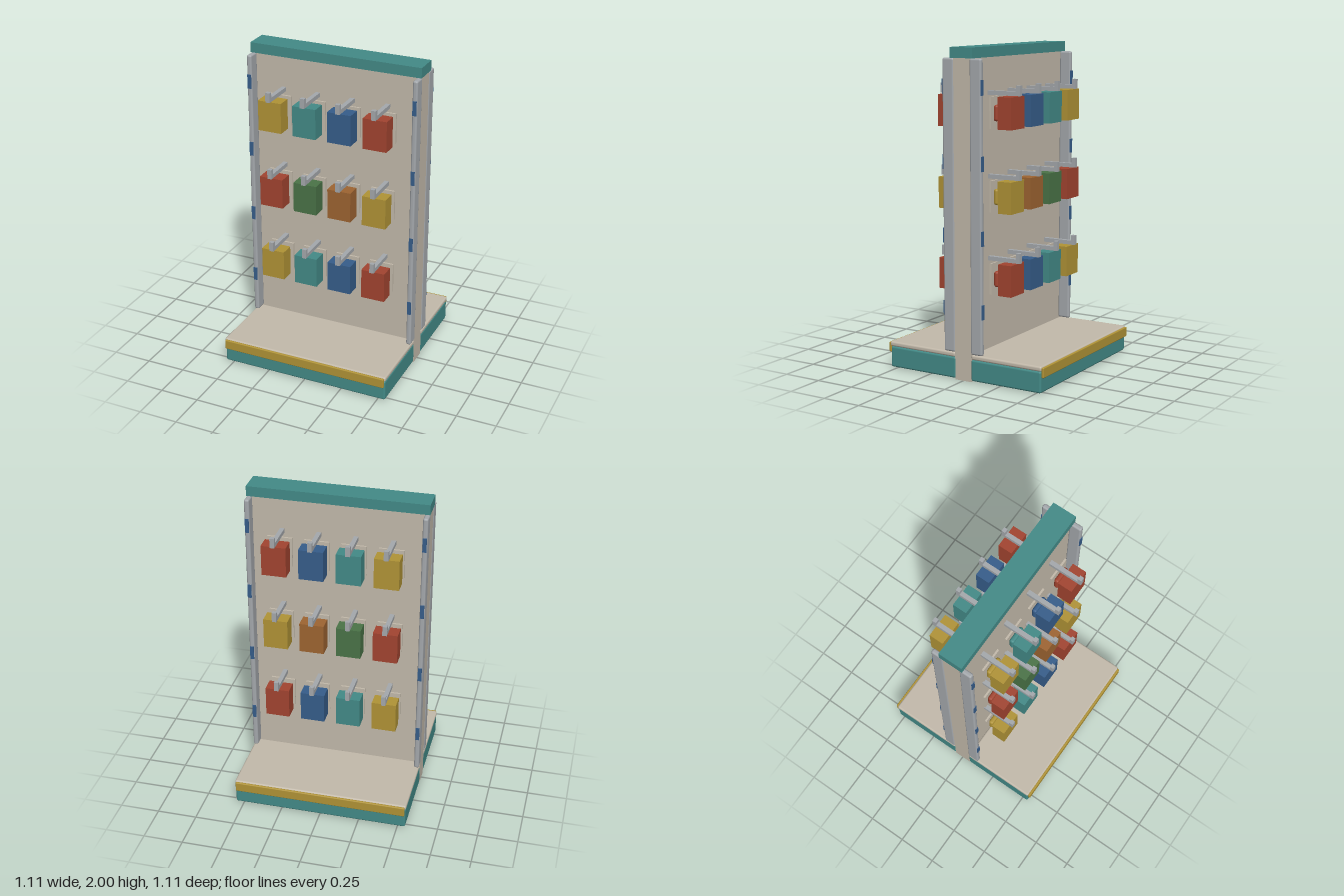
import * as THREE from 'three';
import { RoundedBoxGeometry } from 'three/addons/geometries/RoundedBoxGeometry.js';

const material = (name, color) => {
  const m = new THREE.MeshStandardMaterial({ color });
  m.name = name;
  return m;
};

export function createModel() {
  const beige = material('beige', 0xc2b9aa);
  const grey = material('grey', 0xa4a8ac);
  const teal = material('teal', 0x438a87);
  const yellow = material('yellow', 0xb09336);
  const blue = material('blue', 0x365d8a);
  const red = material('red', 0xa24430);
  const green = material('green', 0x4a7347);
  const orange = material('orange', 0x9d6431);

  const root = new THREE.Group();
  root.name = 'displayStand';

  // Box given by its limits on each axis; a radius rounds the edges
  const box = (parent, name, mat, [x0, x1], [y0, y1], [z0, z1], radius = 0) => {
    const size = [x1 - x0, y1 - y0, z1 - z0];
    const geometry = radius
      ? new RoundedBoxGeometry(...size, 2, radius)
      : new THREE.BoxGeometry(...size);
    const mesh = new THREE.Mesh(geometry, mat);
    mesh.name = name;
    mesh.position.set((x0 + x1) / 2, (y0 + y1) / 2, (z0 + z1) / 2);
    parent.add(mesh);
  };
  const around = (c, half) => [c - half, c + half];

  // Central wall and top cap
  box(root, 'centralPanel', beige, [-0.55, 0.55], [0, 1.94], [-0.057, 0.057]);
  box(root, 'topCap', teal, [-0.555, 0.555], [1.937, 2], [-0.077, 0.077]);

  // A hanging product with its hook and backing card; s is the side of the wall
  const addProduct = (parent, mat, x, top, s) => {
    const group = new THREE.Group();
    group.name = 'hangingProduct';
    const z = (a, b) => (s > 0 ? [a, b] : [-b, -a]);
    box(group, 'hookArm', grey, around(x, 0.014), [top + 0.004, top + 0.03], z(0.055, 0.278));
    box(group, 'hookTip', grey, around(x, 0.014), [top + 0.004, top + 0.065], z(0.254, 0.279));
    box(group, 'backingCard', beige, around(x, 0.077), [top - 0.19, top], z(0.108, 0.12));
    box(group, 'roundedPack', mat, around(x, 0.056), [top - 0.147, top - 0.05], z(0.12, 0.152), 0.014);
    box(group, 'productBox', mat, around(x, 0.076), [top - 0.192, top], z(0.165, 0.257));
    parent.add(group);
  };

  const columns = [-0.342, -0.114, 0.114, 0.342];
  const rows = [
    { top: 1.71, mats: [yellow, teal, blue, red] },
    { top: 1.21, mats: [red, green, orange, yellow] },
    { top: 0.71, mats: [yellow, teal, blue, red] },
  ];

  for (const s of [1, -1]) {
    const side = new THREE.Group();
    side.name = s > 0 ? 'frontSide' : 'backSide';
    root.add(side);
    const z = (a, b) => (s > 0 ? [a, b] : [-b, -a]);

    // Plinth, shelf deck and price strip
    box(side, 'plinth', teal, [-0.55, 0.55], [0.006, 0.138], z(0.055, 0.538), 0.012);
    box(side, 'shelfDeck', beige, [-0.553, 0.553], [0.138, 0.17], z(0.058, 0.542), 0.012);
    box(side, 'priceStrip', yellow, [-0.545, 0.545], [0.1, 0.163], z(0.538, 0.555), 0.006);

    // Side posts with blue clips
    for (const x of [-0.538, 0.538]) {
      box(side, 'sidePost', grey, around(x, 0.016), [0.17, 1.937], z(0.055, 0.135), 0.012);
      for (let i = 0; i < 4; i++) {
        box(side, 'postClip', blue, around(x, 0.012), around(0.437 + i * 0.444, 0.045), z(0.129, 0.138));
      }
    }

    // Rows of products
    for (const { top, mats } of rows) {
      columns.forEach((x, i) => addProduct(side, mats[i], x, top, s));
    }
  }
  return root;
}
